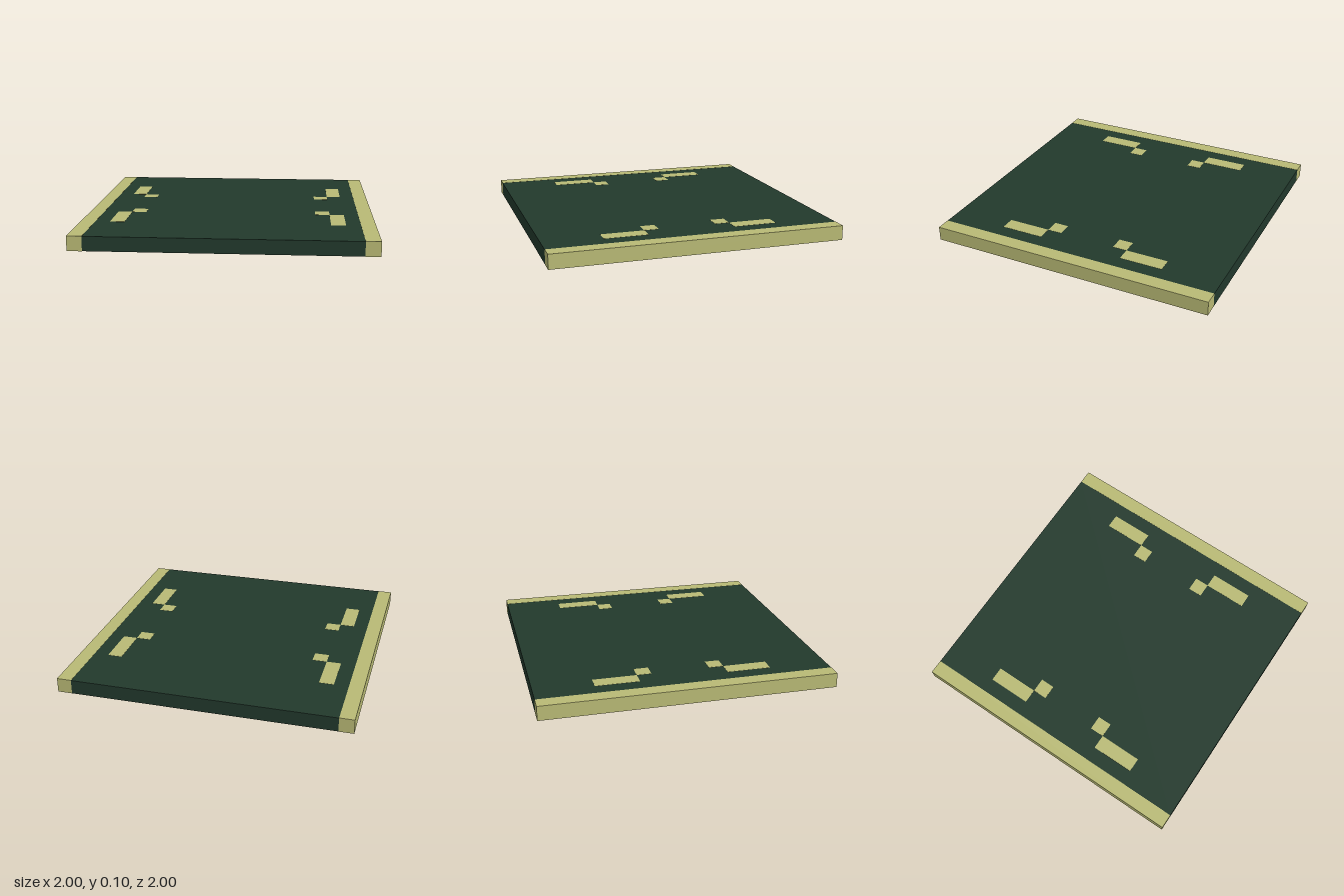
import * as THREE from 'three';

export function createModel() {
  const model = new THREE.Group();
  const green = new THREE.MeshStandardMaterial({ color: 0x22392c });
  green.name = 'dark green';
  const straw = new THREE.MeshStandardMaterial({ color: 0xb9ba75 });
  straw.name = 'pale straw';

  const HEIGHT = 0.1; // slab thickness
  const INLAY = 0.002; // marking plate thickness

  const box = (name, material, size, position) => {
    const mesh = new THREE.Mesh(new THREE.BoxGeometry(...size), material);
    mesh.name = name;
    mesh.position.set(...position);
    model.add(mesh);
  };

  // Central panel, a hair thinner than the rails so the markings sit flush
  box('panel', green, [1.8, HEIGHT - 0.002, 2], [0, HEIGHT / 2, 0]);

  for (const [side, sx] of [['left', 1], ['right', -1]]) {
    // Edge rail along each side
    box(`${side}Rail`, straw, [0.1, HEIGHT, 2], [sx * 0.95, HEIGHT / 2, 0]);

    // Bar and square markings, mirrored on both faces
    for (const [end, sz] of [['Front', 1], ['Back', -1]]) {
      for (const [face, y] of [['Top', HEIGHT - INLAY / 2], ['Bottom', INLAY / 2]]) {
        box(`${side}${end}${face}Bar`, straw, [0.1, INLAY, 0.3], [sx * 0.75, y, sz * 0.45]);
        box(`${side}${end}${face}Square`, straw, [0.1, INLAY, 0.1], [sx * 0.65, y, sz * 0.25]);
      }
    }
  }
  return model;
}
